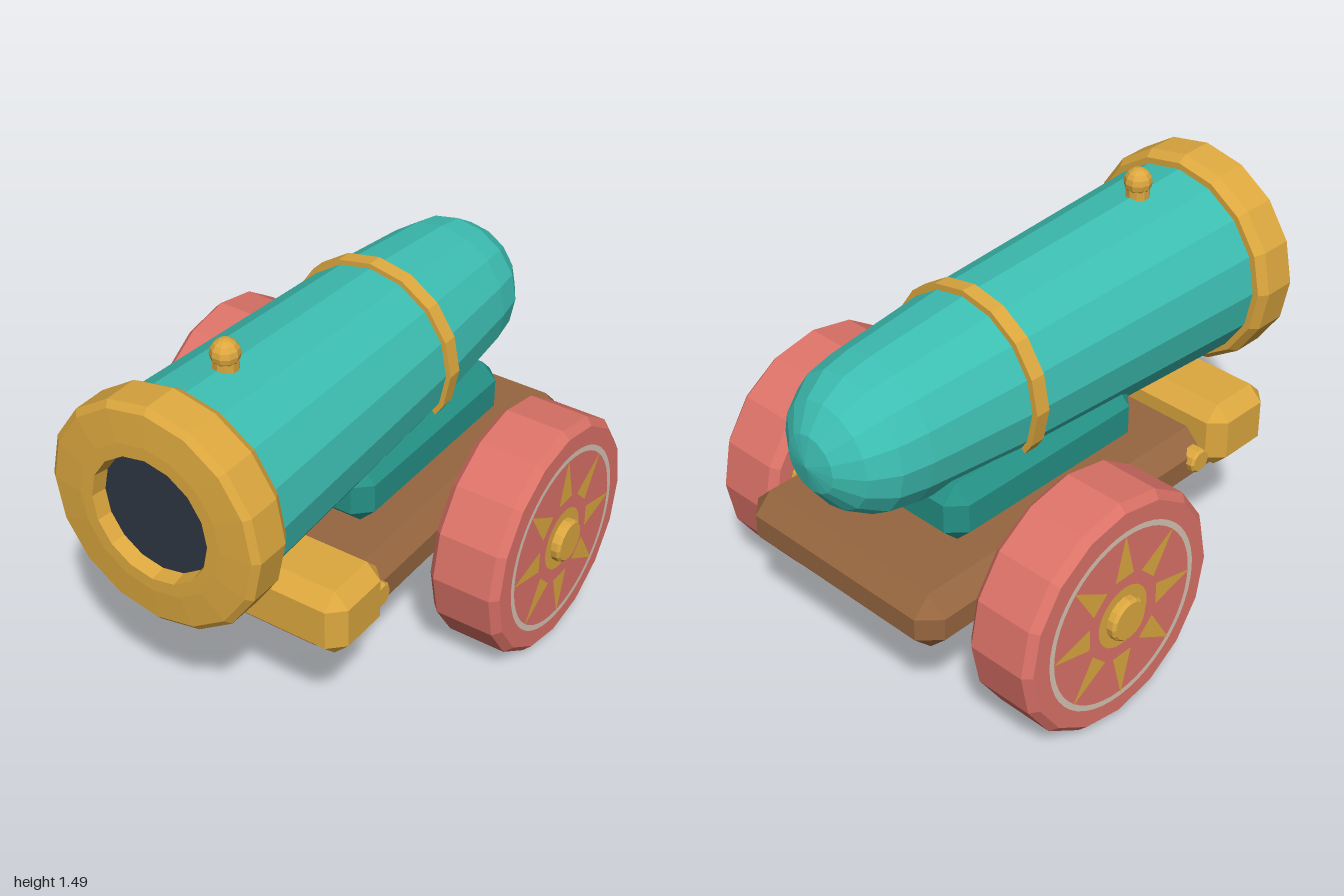
import * as THREE from 'three';
import { ConvexGeometry } from 'three/addons/geometries/ConvexGeometry.js';

const material = (name, color, extra = {}) => {
  const m = new THREE.MeshStandardMaterial({ color, flatShading: true, ...extra });
  m.name = name;
  return m;
};

// Box with every edge and corner cut off by c
function chamferBox(w, h, d, c) {
  const points = [];
  for (const x of [-w / 2, w / 2]) for (const y of [-h / 2, h / 2]) for (const z of [-d / 2, d / 2]) {
    const [a, b, e] = [x, y, z].map((v) => v - Math.sign(v) * c);
    points.push(new THREE.Vector3(x, b, e), new THREE.Vector3(a, y, e), new THREE.Vector3(a, b, z));
  }
  return new ConvexGeometry(points);
}

// Turned solid from [radius, position] pairs
const turned = (pairs, sides) =>
  new THREE.LatheGeometry(pairs.map(([r, p]) => new THREE.Vector2(r, p)), sides);

// Short disc with chamfered rims, running along x from a to b
const disc = (r, a, b, c, sides) =>
  turned([[0, a], [r - c, a], [r, a + c], [r, b - c], [r - c, b], [0, b]], sides).rotateZ(-Math.PI / 2);

export function createModel() {
  const model = new THREE.Group();
  model.name = 'cannon';
  const teal = material('teal', 0x3dbfb3);
  const darkTeal = material('dark teal', 0x249186);
  const gold = material('gold', 0xdda83f);
  const red = material('red', 0xdd7368);
  const brown = material('brown', 0x96663f);
  const dark = material('bore dark', 0x2e3642);
  const pale = material('pale', 0xd9c6b6);

  const add = (parent, name, geometry, mat, x = 0, y = 0, z = 0) => {
    const mesh = new THREE.Mesh(geometry, mat);
    mesh.name = name;
    mesh.position.set(x, y, z);
    parent.add(mesh);
    return mesh;
  };

  // Barrel assembly, turned around the z axis
  const axisY = 1.033, sides = 16;
  const barrel = [];
  for (let i = 0; i <= 4; i++) {
    const a = (1 - i / 4) * Math.PI / 2;
    barrel.push([0.28 * Math.cos(a), -0.7 - 0.3 * Math.sin(a)]);
  }
  barrel.push([0.322, -0.26], [0.372, 0.83]);
  add(model, 'barrel', turned(barrel, sides).rotateX(Math.PI / 2), teal, 0, axisY);
  const muzzle = [[0.3, 0.81], [0.395, 0.81], [0.418, 0.845], [0.418, 0.97], [0.395, 0.99],
    [0.28, 1], [0.232, 1], [0.222, 0.94]];
  add(model, 'muzzleRing', turned(muzzle, sides).rotateX(Math.PI / 2), gold, 0, axisY);
  add(model, 'bore', new THREE.CircleGeometry(0.226, sides), dark, 0, axisY, 0.945);
  const band = [[0.3, -0.29], [0.342, -0.29], [0.342, -0.232], [0.3, -0.232]];
  add(model, 'barrelBand', turned(band, sides).rotateX(Math.PI / 2), gold, 0, axisY);

  // Sight knob
  add(model, 'sightStem', new THREE.CylinderGeometry(0.045, 0.045, 0.07, 10), gold, 0, 1.405, 0.585);
  add(model, 'sightBall', new THREE.SphereGeometry(0.052, 10, 8), gold, 0, 1.443, 0.585);

  // Carriage
  add(model, 'cradle', chamferBox(0.64, 0.23, 0.91, 0.06), darkTeal, 0, 0.765, -0.195);
  add(model, 'carriageBed', chamferBox(0.93, 0.225, 1.6, 0.07), brown, 0, 0.5375, -0.12);
  add(model, 'frontBeam', chamferBox(1.08, 0.26, 0.295, 0.055), gold, 0, 0.63, 0.585);
  add(model, 'axle', new THREE.CylinderGeometry(0.115, 0.115, 1.0, 12).rotateZ(Math.PI / 2), brown, 0, 0.457, -0.33);

  // Sun ray with its tip pointing up
  const ray = new THREE.Shape([[-0.045, 0.165], [0.045, 0.165], [0, 0.342]].map((p) => new THREE.Vector2(...p)));

  for (const side of [1, -1]) {
    const label = side > 0 ? 'left' : 'right';
    // Bolts on the bed sides
    for (const z of [0.405, -0.635])
      add(model, label + 'Bolt', disc(0.047, -0.03, 0.03, 0.008, 10), gold, side * 0.465, 0.56, z);

    // Wheel with painted sun
    const wheel = new THREE.Group();
    wheel.name = label + 'Wheel';
    wheel.position.set(0, 0.457, -0.33);
    if (side < 0) wheel.rotation.y = Math.PI;
    add(wheel, 'rim', disc(0.455, 0.49, 0.77, 0.028, 16), red);
    add(wheel, 'hub', disc(0.082, 0.76, 0.808, 0.01, 16), gold);
    add(wheel, 'sunDisc', new THREE.CircleGeometry(0.12, 32).rotateY(Math.PI / 2), gold, 0.774);
    add(wheel, 'sunCircle', new THREE.RingGeometry(0.334, 0.356, 48).rotateY(Math.PI / 2), pale, 0.774);
    for (let i = 0; i < 8; i++) {
      const g = new THREE.ShapeGeometry(ray).rotateZ(i * Math.PI / 4).rotateY(Math.PI / 2);
      add(wheel, 'sunRay', g, gold, 0.776);
    }
    model.add(wheel);
  }
  return model;
}
